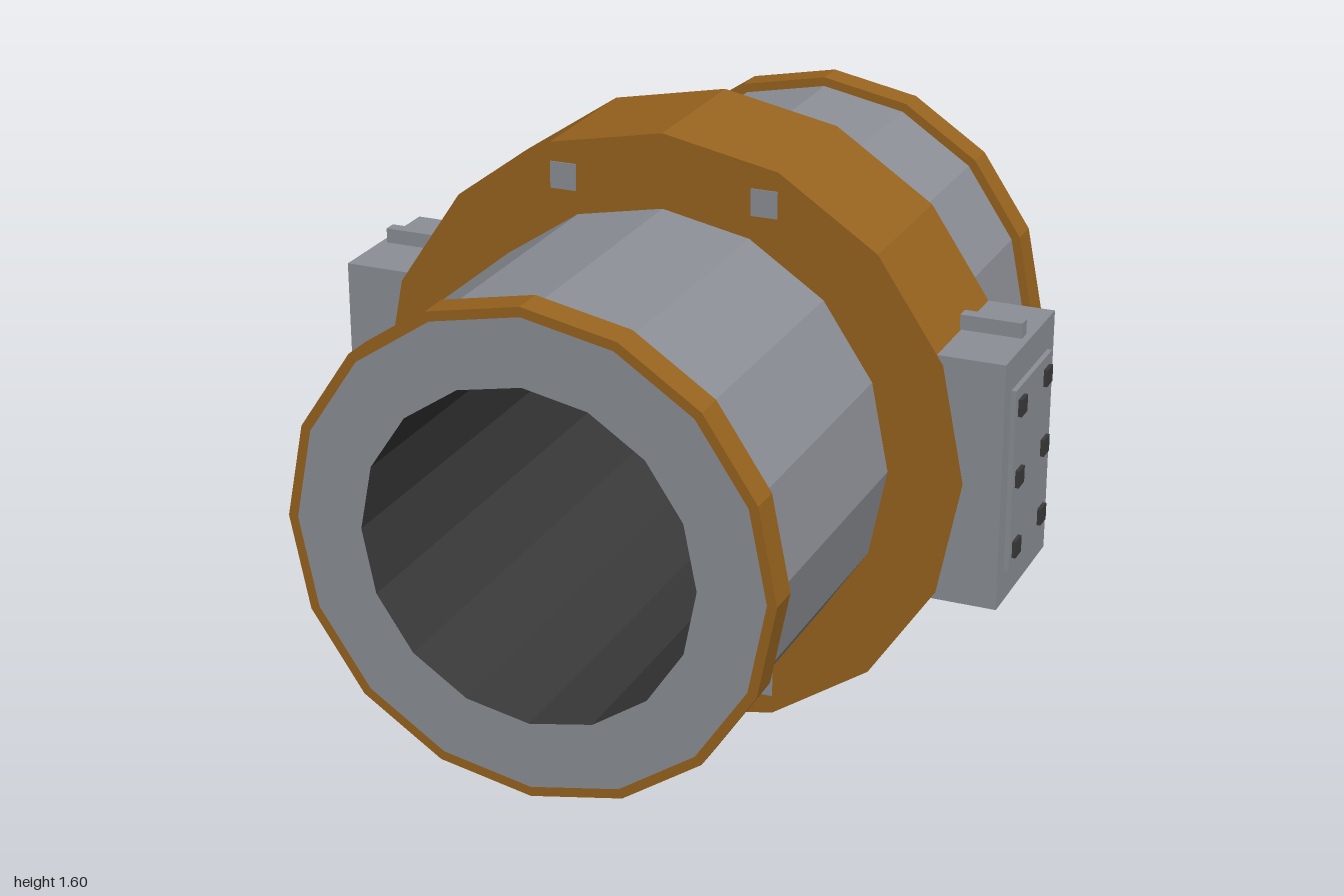
import * as THREE from 'three';

const SIDES = 16;

export function createModel() {
  const model = new THREE.Group();
  model.name = 'pipeCoupling';

  const mat = (name, color) => {
    const m = new THREE.MeshStandardMaterial({ color, flatShading: true });
    m.name = name;
    return m;
  };
  const grey = mat('steelGrey', 0x8c8f96);
  const orange = mat('ochreOrange', 0x99641f);
  const dark = mat('darkGrey', 0x3a3a3a);

  const add = (parent, name, geometry, material, x = 0, y = 0, z = 0) => {
    const mesh = new THREE.Mesh(geometry, material);
    mesh.name = name;
    mesh.position.set(x, y, z);
    parent.add(mesh);
    return mesh;
  };

  // Turned shape along z from [radius, z] points
  const turned = (points) =>
    new THREE.LatheGeometry(points.map(([r, z]) => new THREE.Vector2(r, z)), SIDES).rotateX(Math.PI / 2);
  const band = (inner, outer, z0, z1) =>
    turned([[inner, z0], [outer, z0], [outer, z1], [inner, z1]]);

  // Main pipe with its dark bore
  const axis = 0.8;
  add(model, 'pipe', band(0.433, 0.605, -1, 1), grey, 0, axis);
  add(model, 'pipeBore', turned([[0.433, 1], [0.433, -1]]), dark, 0, axis);

  // Rims: the profile closes back onto the pipe
  add(model, 'frontRim', band(0.605, 0.63, 0.918, 1), orange, 0, axis);
  add(model, 'backRim', band(0.605, 0.63, -1, -0.918), orange, 0, axis);

  // Central collar
  add(model, 'collar', band(0.6, 0.8, -0.2, 0.2), orange, 0, axis);

  // Square studs on both collar faces
  for (const z of [-0.2, 0.2])
    for (const x of [-0.27, 0.27])
      for (const y of [-0.655, 0.655])
        add(model, 'collarStud', new THREE.BoxGeometry(0.07, 0.07, 0.006), grey, x, axis + y, z);

  // Side boxes with cover plate, bolts and top rib
  for (const side of [1, -1]) {
    const box = new THREE.Group();
    box.name = side > 0 ? 'leftBox' : 'rightBox';
    add(box, 'housing', new THREE.BoxGeometry(0.23, 0.655, 0.398), grey, side * 0.783, 0.803);
    add(box, 'coverPlate', new THREE.BoxGeometry(0.03, 0.485, 0.295), grey, side * 0.896, 0.803);
    add(box, 'topRib', new THREE.BoxGeometry(0.16, 0.06, 0.035), grey, side * 0.8, 1.14);
    for (const y of [0.612, 0.803, 0.993])
      for (const z of [-0.104, 0.104])
        add(box, 'bolt', new THREE.BoxGeometry(0.02, 0.045, 0.045), dark, side * 0.911, y, z);
    model.add(box);
  }

  return model;
}
